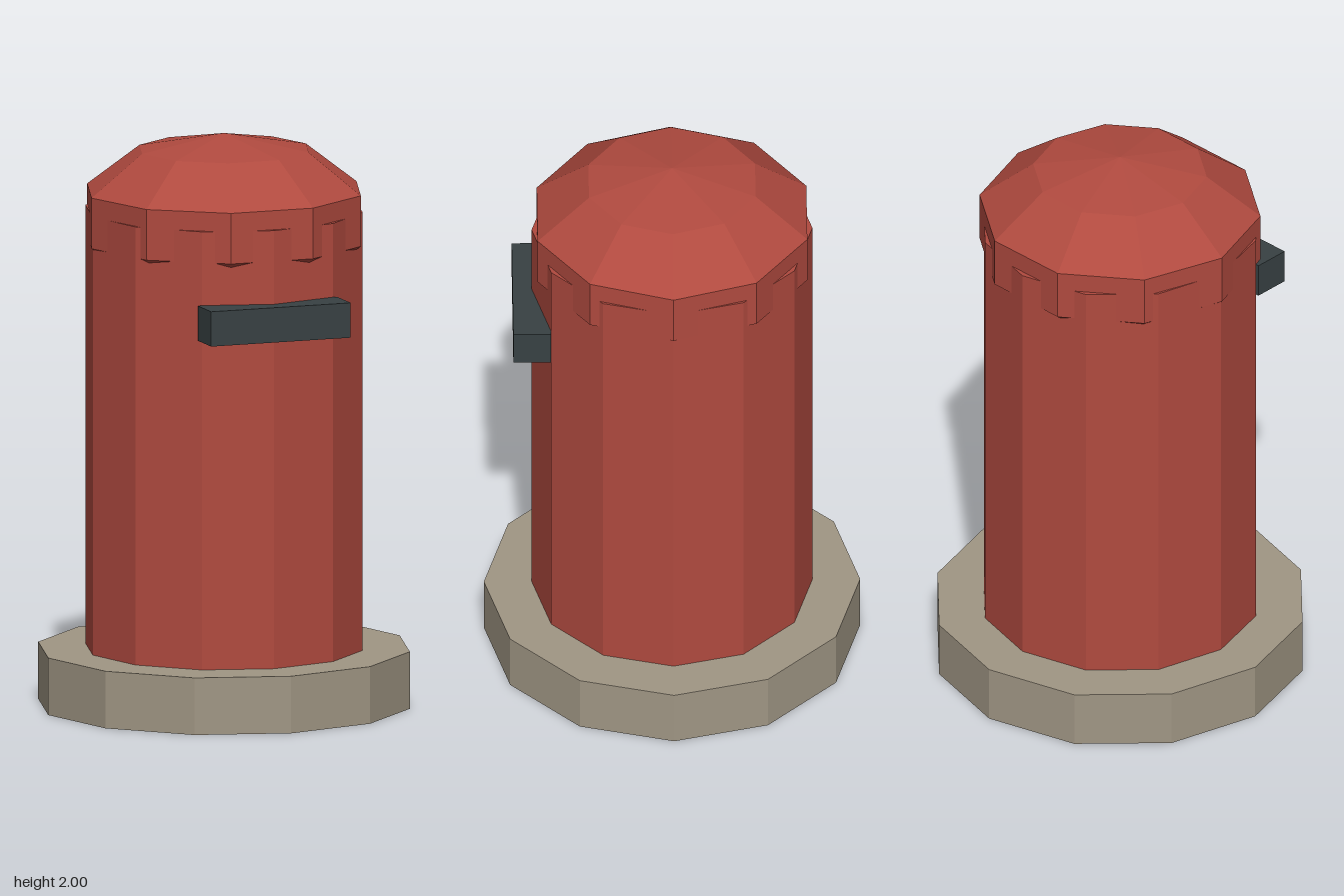
import * as THREE from 'three';

const material = (name, color) => {
  const m = new THREE.MeshStandardMaterial({ color, flatShading: true });
  m.name = name;
  return m;
};

export function createModel() {
  const red = material('pillar red', 0xb04a3f);
  const stone = material('stone', 0xa09684);
  const dark = material('dark slate', 0x384143);

  const model = new THREE.Group();
  model.name = 'pillarBox';

  const add = (name, geometry, mat, y, z = 0) => {
    const mesh = new THREE.Mesh(geometry, mat);
    mesh.name = name;
    mesh.position.set(0, y, z);
    model.add(mesh);
    return mesh;
  };

  // Twelve-sided plinth and body
  add('base', new THREE.CylinderGeometry(0.65, 0.65, 0.2, 12), stone, 0.1);
  add('body', new THREE.CylinderGeometry(0.485, 0.485, 1.535, 12), red, 0.9675);

  // Cap: a flattened ten-sided sphere, its lower half sunk in the body
  const cap = new THREE.SphereGeometry(0.515, 10, 5);
  cap.scale(1, 0.287 / 0.515, 1);
  add('cap', cap, red, 1.713);

  // Letter slot block on the front
  add('slot', new THREE.BoxGeometry(0.516, 0.122, 0.13), dark, 1.416, 0.486);

  return model;
}
